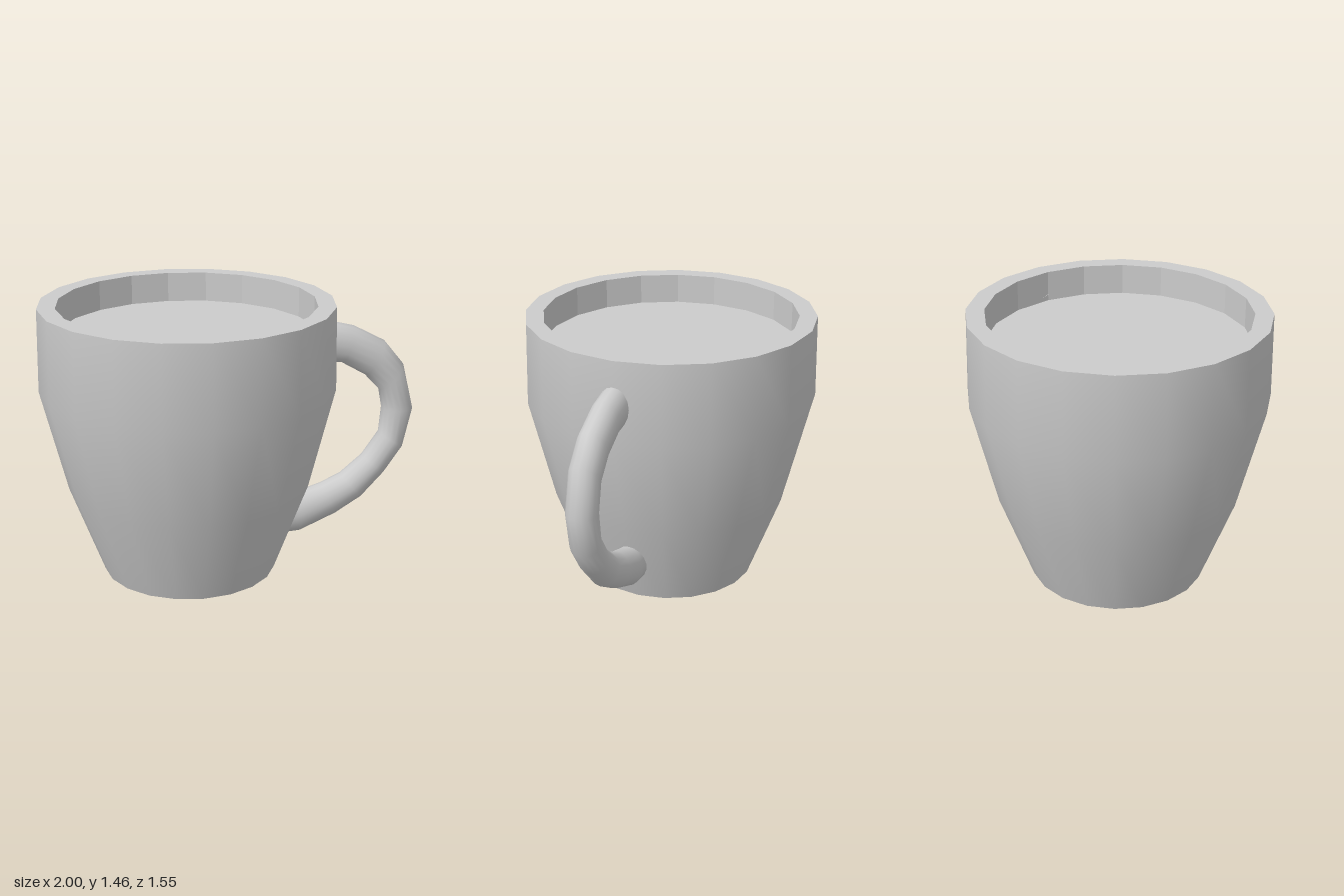
import * as THREE from 'three';

const SIDES = 20;
const CUP_X = -0.227;

export function createModel() {
  const group = new THREE.Group();
  const smooth = new THREE.MeshStandardMaterial({ color: 0xcccccc });
  const flat = new THREE.MeshStandardMaterial({ color: 0xcccccc, flatShading: true });

  // Each surface of revolution is its own lathe, so the edges between them stay sharp
  const turn = (name, profile, material) => {
    const points = profile.map(([r, y]) => new THREE.Vector2(r, y));
    const mesh = new THREE.Mesh(new THREE.LatheGeometry(points, SIDES), material);
    mesh.name = name;
    mesh.position.x = CUP_X;
    group.add(mesh);
  };
  turn('base', [[0, 0], [0.461, 0]], flat);
  turn('outerWall', [[0.461, 0], [0.638, 0.475], [0.773, 1.02], [0.766, 1.455]], smooth);
  turn('rim', [[0.766, 1.455], [0.672, 1.455]], flat);
  turn('innerWall', [[0.672, 1.455], [0.672, 1.295]], flat);
  turn('drinkSurface', [[0.672, 1.295], [0, 1.295]], flat);

  // Handle: elliptical rings spanning outer and inner edge points [outerX, outerY, innerX, innerY]
  const spans = [
    [0.44, 1.33, 0.42, 1.11],
    [0.54, 1.32, 0.52, 1.10],
    [0.66, 1.29, 0.60, 1.09],
    [0.83, 1.20, 0.73, 1.015],
    [0.94, 1.065, 0.81, 0.93],
    [1.0, 0.82, 0.83, 0.82],
    [0.95, 0.60, 0.82, 0.685],
    [0.85, 0.455, 0.73, 0.555],
    [0.725, 0.32, 0.61, 0.455],
    [0.58, 0.23, 0.50, 0.405],
    [0.38, 0.142, 0.37, 0.365],
    [0.22, 0.13, 0.23, 0.36],
  ];
  const around = 16, halfWidth = 0.08;
  const positions = [], indices = [];
  spans.forEach(([ox, oy, ix, iy], i) => {
    for (let j = 0; j < around; j++) {
      const a = (j / around) * Math.PI * 2, c = Math.cos(a) / 2;
      positions.push((ox + ix) / 2 + (ox - ix) * c, (oy + iy) / 2 + (oy - iy) * c, halfWidth * Math.sin(a));
      if (i === 0) continue;
      const k = (j + 1) % around, p = (i - 1) * around, q = i * around;
      indices.push(p + j, p + k, q + j, q + j, p + k, q + k);
    }
  });
  const geometry = new THREE.BufferGeometry();
  geometry.setAttribute('position', new THREE.Float32BufferAttribute(positions, 3));
  geometry.setIndex(indices);
  geometry.computeVertexNormals();
  const handle = new THREE.Mesh(geometry, smooth);
  handle.name = 'handle';
  group.add(handle);

  return group;
}
